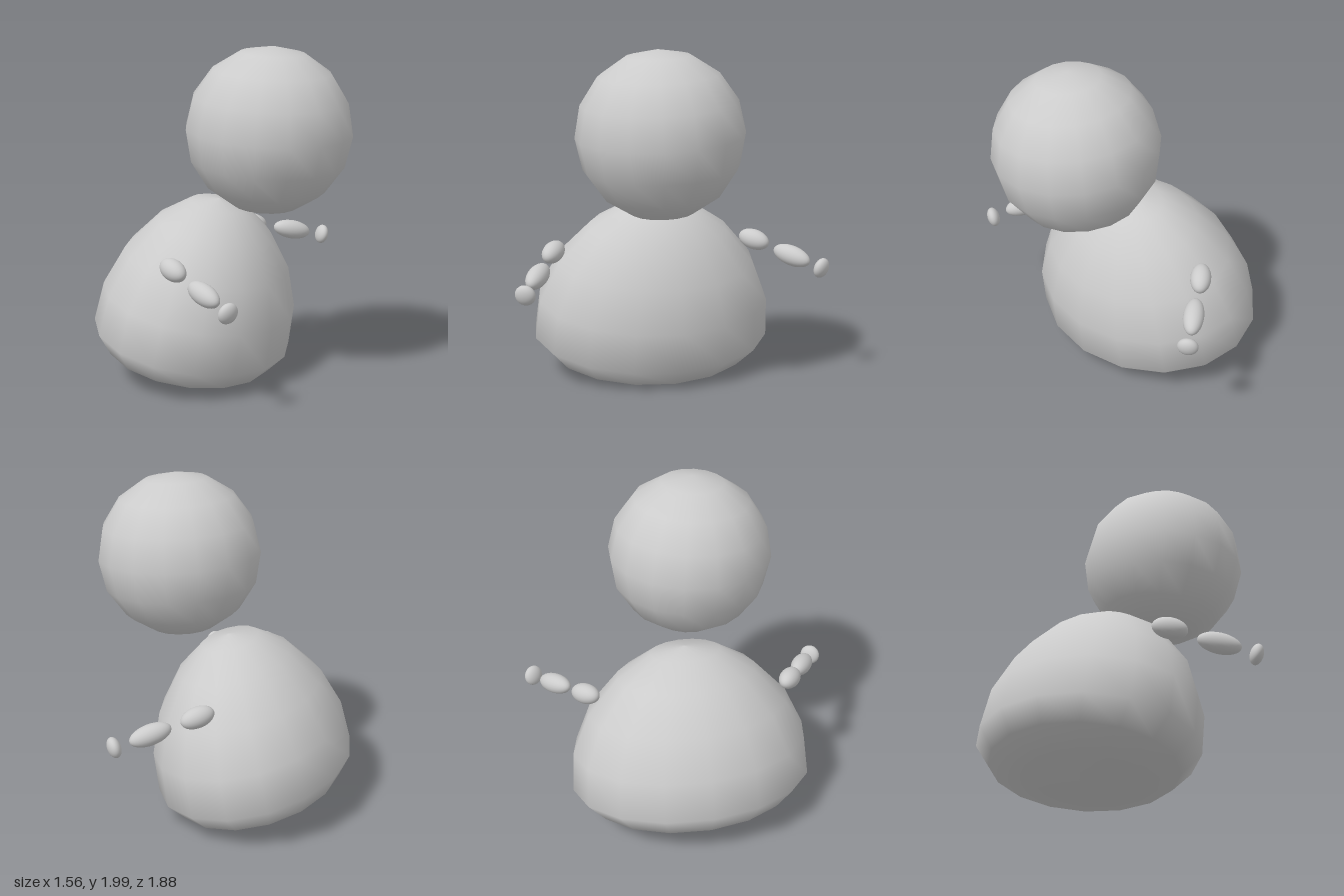
import * as THREE from 'three';

const material = new THREE.MeshStandardMaterial({ color: 0xcccccc });

function addMesh(parent, name, geometry, position) {
  const mesh = new THREE.Mesh(geometry, material);
  mesh.name = name;
  mesh.position.set(...position);
  parent.add(mesh);
  return mesh;
}

// Ellipsoid of revolution whose own axis points along `direction`
function addBead(parent, name, position, direction, length, width) {
  const bead = addMesh(parent, name, new THREE.SphereGeometry(1, 24, 16), position);
  bead.scale.set(width, length, width);
  bead.quaternion.setFromUnitVectors(
    new THREE.Vector3(0, 1, 0),
    new THREE.Vector3(...direction).normalize()
  );
}

export function createModel() {
  const model = new THREE.Group();
  model.name = 'figure';

  // Body: leaning dome with a rounded base, wider from side to side
  const profile = [
    [0, -0.035], [0.28, -0.015], [0.5, 0.037], [0.59, 0.16], [0.575, 0.4],
    [0.49, 0.64], [0.338, 0.85], [0.17, 0.982], [0, 1.014]
  ].map(([r, h]) => new THREE.Vector2(r, h));
  const body = addMesh(model, 'body', new THREE.LatheGeometry(profile, 16), [-0.23, 0.08, -0.022]);
  body.scale.z = 1.245;
  body.rotation.z = -0.2;

  // Head: coarse smooth-shaded ball floating above the body
  const head = addMesh(model, 'head', new THREE.SphereGeometry(0.486, 16, 8), [0.3, 1.515, 0.085]);
  head.rotation.set(0.06, 0.1, -0.06);

  // Arms: upper arm, forearm and a flattened hand, one chain on each side
  const arms = [
    { name: 'frontArm', side: 1, at: [[-0.107, 0.785, 0.617], [0.12, 0.703, 0.767], [0.29, 0.643, 0.88]] },
    { name: 'rearArm', side: -1, at: [[0.005, 0.798, -0.622], [0.235, 0.735, -0.773], [0.41, 0.69, -0.887]] }
  ];
  for (const { name, side, at } of arms) {
    const arm = new THREE.Group();
    arm.name = name;
    addBead(arm, 'upperArm', at[0], [0.75, -0.2, 0.58 * side], 0.102, 0.061);
    addBead(arm, 'forearm', at[1], [0.8, -0.22, 0.56 * side], 0.125, 0.06);
    addBead(arm, 'hand', at[2], [0.8, -0.25, 0.55 * side], 0.038, 0.061);
    model.add(arm);
  }

  return model;
}
